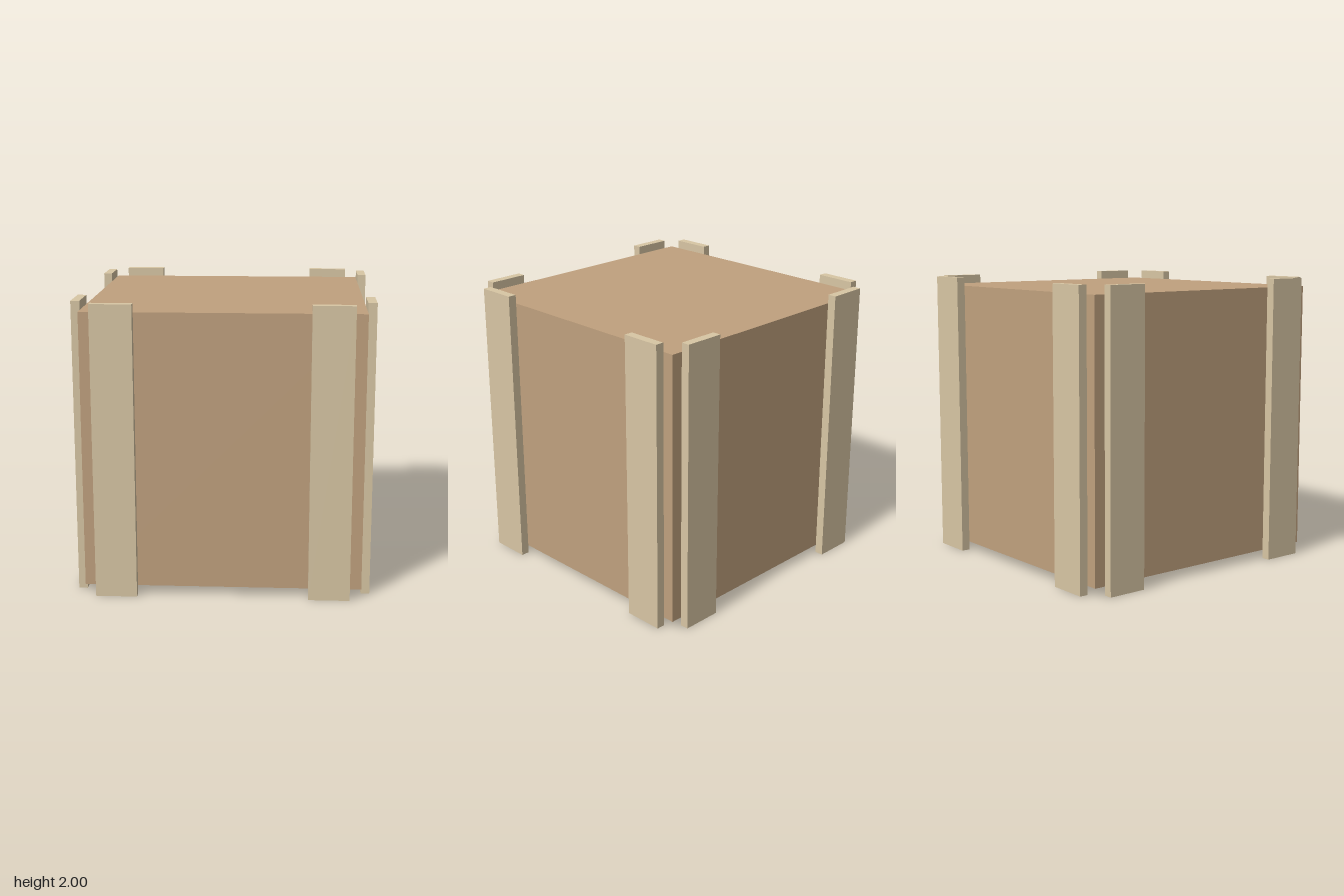
import * as THREE from 'three';

export function createModel() {
  const model = new THREE.Group();
  model.name = 'crate';

  const bodyMaterial = new THREE.MeshStandardMaterial({ color: 0xc0a17e });
  const slatMaterial = new THREE.MeshStandardMaterial({ color: 0xd8c6a4 });

  // Main box, raised clear of the ground by the slats
  const body = new THREE.Mesh(new THREE.BoxGeometry(1.88, 1.88, 1.88), bodyMaterial);
  body.name = 'crateBody';
  body.position.y = 1;
  model.add(body);

  // Two upright slats on each of the four sides
  const slatGeometry = new THREE.BoxGeometry(0.28, 2, 0.06);
  ['front', 'left', 'back', 'right'].forEach((sideName, i) => {
    const side = new THREE.Group();
    side.name = sideName + 'Slats';
    side.rotation.y = i * Math.PI / 2;
    for (const s of [-1, 1]) {
      const slat = new THREE.Mesh(slatGeometry, slatMaterial);
      slat.name = sideName + 'Slat' + (s < 0 ? 'A' : 'B');
      slat.position.set(s * 0.72, 1, 0.97);
      side.add(slat);
    }
    model.add(side);
  });

  return model;
}
